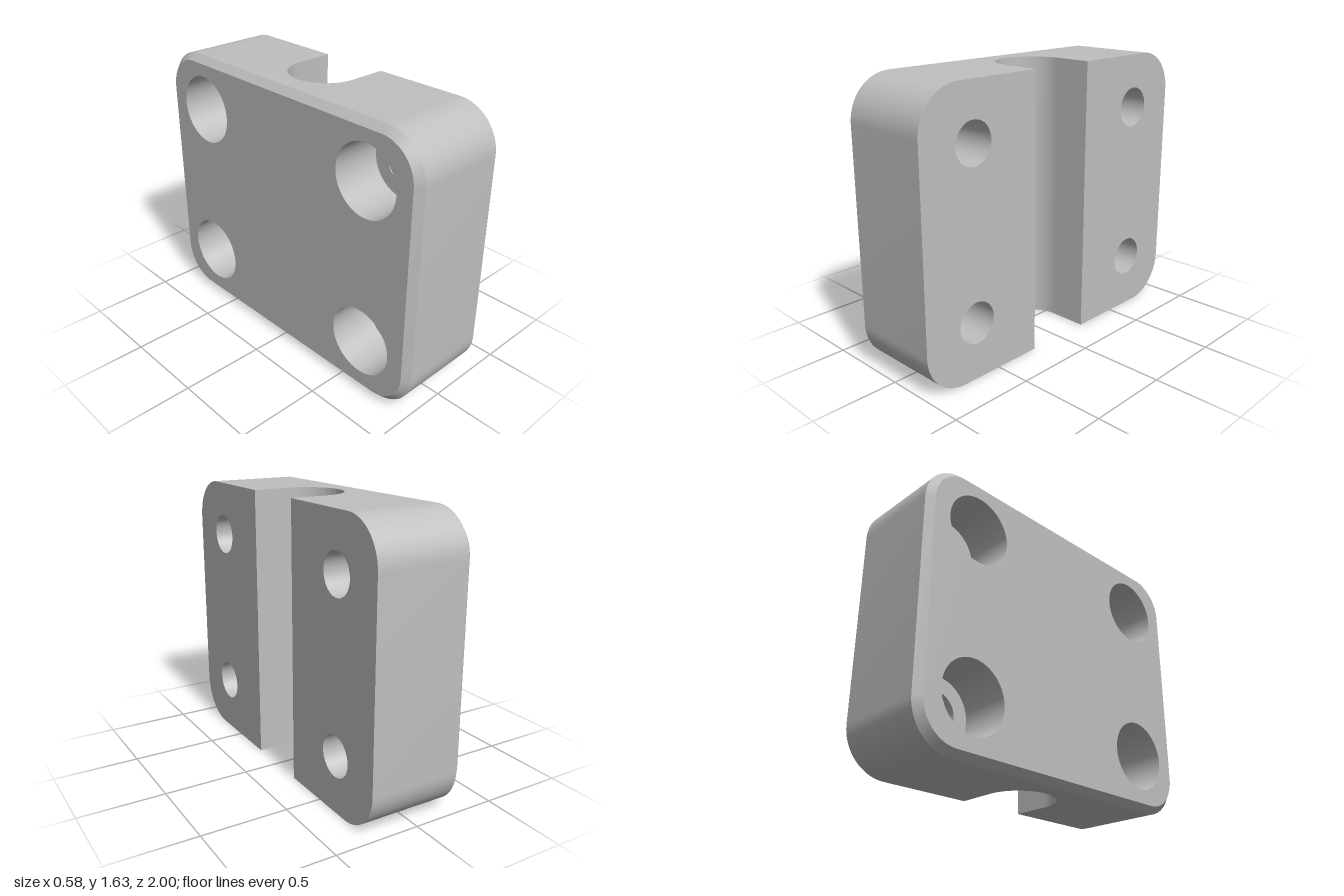
import * as THREE from 'three';
import { toCreasedNormals } from 'three/addons/utils/BufferGeometryUtils.js';

const H = 1.63, FRONT = 0.29, BACK = -0.29, CHAMFER = 0.04, SHOULDER = BACK + CHAMFER;
const R = 0.25, GROOVE = 0.21, GROOVE_X = 0.07;
const HOLE_R = 0.12, BORE_R = 0.205, BORE_FLOOR = 0.01;
const HOLE_Z = 0.655, HOLE_YS = [0.33, 1.31];

// Surface between two rows of points with equal counts
function strip(a, b) {
  const index = [], n = a.length;
  for (let i = 0; i < n - 1; i++) index.push(i, i + 1, n + i, i + 1, n + i + 1, n + i);
  const g = new THREE.BufferGeometry();
  g.setAttribute('position', new THREE.Float32BufferAttribute([...a, ...b].flat(), 3));
  g.setIndex(index);
  return toCreasedNormals(g, 0.5);
}

// [z, y] outline of the +z half, from the groove at the bottom round to the top
function halfOutline(inset) {
  const pts = [[GROOVE, inset]], r = R - inset, n = 16;
  for (const [cy, start] of [[R, -Math.PI / 2], [H - R, 0]]) {
    for (let i = 0; i <= n; i++) {
      const t = start + (i / n) * Math.PI / 2;
      pts.push([1 - R + r * Math.cos(t), cy + r * Math.sin(t)]);
    }
  }
  pts.push([GROOVE, H - inset]);
  return pts;
}
const mirror = (pts) => pts.map(([z, y]) => [-z, y]).reverse();
const atX = (pts, x) => pts.map(([z, y]) => [x, y, z]);
const toShape = (pts) => new THREE.Shape(pts.map(([u, v]) => new THREE.Vector2(u, v)));

function addHole(shape, u, v, r) {
  shape.holes.push(new THREE.Path().absarc(u, v, r, 0, Math.PI * 2, true));
}

export function createModel() {
  const group = new THREE.Group();
  const grey = new THREE.MeshStandardMaterial({ color: 0xbfbfbf });
  grey.name = 'light grey';
  const add = (name, geometry) => {
    const mesh = new THREE.Mesh(geometry, grey);
    mesh.name = name;
    group.add(mesh);
    return mesh;
  };

  const half = halfOutline(0), insetHalf = halfOutline(CHAMFER);

  // Outer walls and front pads on either side of the groove
  for (const side of [1, -1]) {
    const outline = side > 0 ? half : mirror(half);
    add('outerWall', strip(atX(outline, FRONT), atX(outline, SHOULDER)));
    const pad = toShape(outline);
    for (const y of HOLE_YS) addHole(pad, side * HOLE_Z, y, HOLE_R);
    add('frontPad', new THREE.ShapeGeometry(pad, 24).rotateY(Math.PI / 2)).position.x = FRONT;
  }
  // rotating the pad shapes swaps the two sides, which are symmetric

  // Chamfer around the back edge
  const loop = (h) => [...h, ...mirror(h), h[0]];
  add('backChamfer', strip(atX(loop(half), SHOULDER), atX(loop(insetHalf), BACK)));

  // Back face with the counterbore openings
  const back = toShape([...insetHalf, ...mirror(insetHalf)]);
  for (const z of [HOLE_Z, -HOLE_Z]) for (const y of HOLE_YS) addHole(back, z, y, BORE_R);
  add('backFace', new THREE.ShapeGeometry(back, 24).rotateY(-Math.PI / 2)).position.x = BACK;

  // Round-bottomed groove
  const arc = [];
  for (let i = 0; i <= 32; i++) {
    const t = (i / 32) * Math.PI;
    arc.push([GROOVE_X - GROOVE * Math.sin(t), GROOVE * Math.cos(t)]);
  }
  const profile = [[FRONT, GROOVE], ...arc, [FRONT, -GROOVE]];
  const atY = (y) => profile.map(([x, z]) => [x, y, z]);
  add('groove', strip(atY(0), atY(H)));

  // Top and bottom of the web behind the groove
  const web = toShape([[SHOULDER, -GROOVE], [SHOULDER, GROOVE], ...arc]);
  add('webTop', new THREE.ShapeGeometry(web).rotateX(-Math.PI / 2)).position.y = H;
  add('webBottom', new THREE.ShapeGeometry(web).rotateX(Math.PI / 2));

  // Stepped screw holes
  const circle = (r, x, y, z) => Array.from({ length: 49 }, (_, i) => {
    const t = (i / 48) * Math.PI * 2;
    return [x, y - r * Math.sin(t), z + r * Math.cos(t)];
  });
  for (const z of [HOLE_Z, -HOLE_Z]) {
    for (const y of HOLE_YS) {
      add('screwHole', strip(circle(HOLE_R, FRONT, y, z), circle(HOLE_R, BORE_FLOOR, y, z)));
      add('counterbore', strip(circle(BORE_R, BORE_FLOOR, y, z), circle(BORE_R, BACK, y, z)));
      const floor = new THREE.RingGeometry(HOLE_R, BORE_R, 48).rotateY(-Math.PI / 2);
      add('counterboreFloor', floor).position.set(BORE_FLOOR, y, z);
    }
  }
  return group;
}
